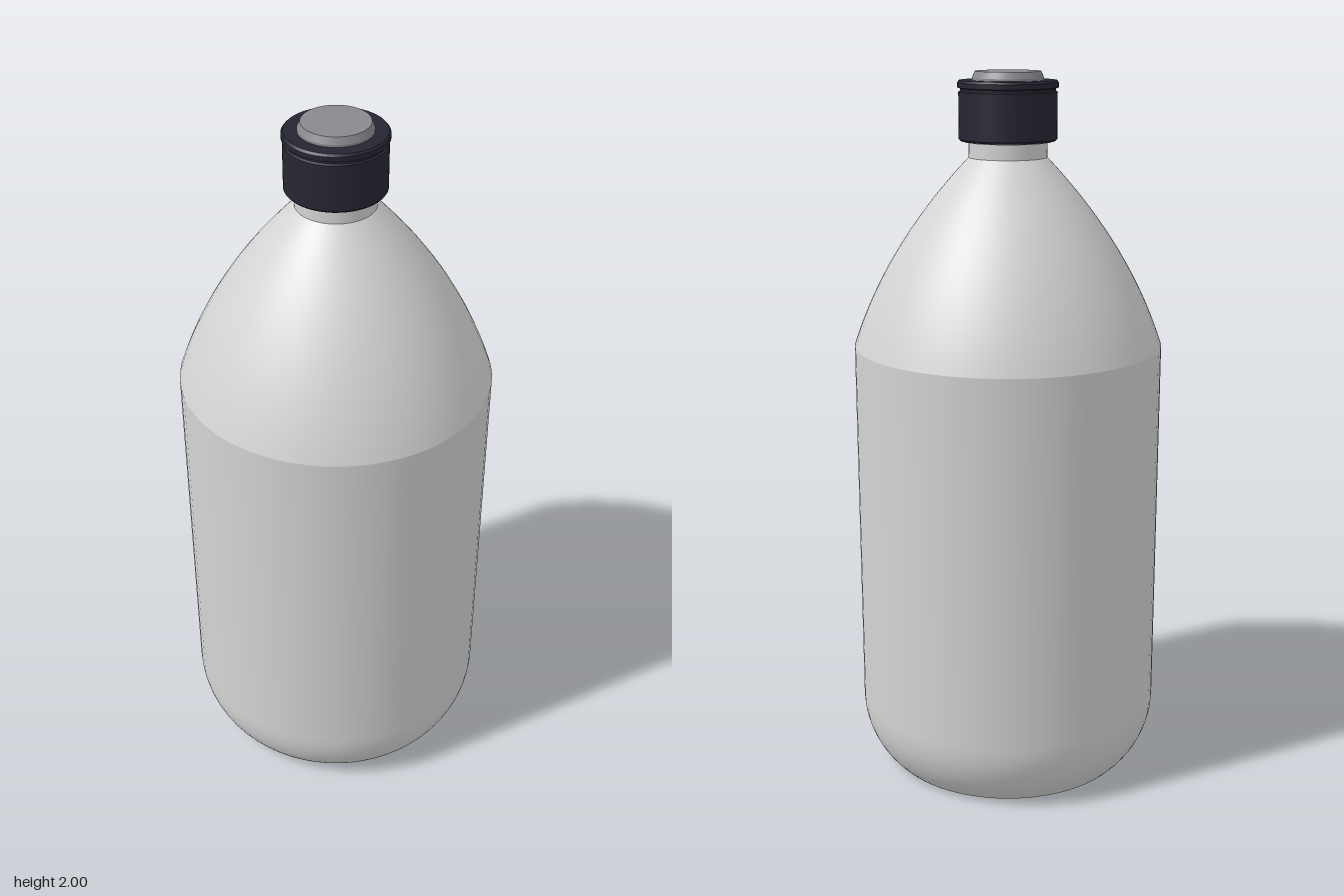
import * as THREE from 'three';

const SEGMENTS = 64;

export function createModel() {
  const bottle = new THREE.Group();
  bottle.name = 'bottle';

  const shell = new THREE.MeshStandardMaterial({ name: 'pale grey', color: 0xd4d4d4 });
  const dark = new THREE.MeshStandardMaterial({ name: 'dark navy', color: 0x262633 });
  const grey = new THREE.MeshStandardMaterial({ name: 'mid grey', color: 0x8a888e });

  const v = (r, y) => new THREE.Vector2(r, y);
  // One smooth band of revolution; profile runs from bottom to top.
  const band = (parent, name, points, material) => {
    const mesh = new THREE.Mesh(new THREE.LatheGeometry(points, SEGMENTS), material);
    mesh.name = name;
    parent.add(mesh);
  };
  // A stack of straight bands with sharp edges between them.
  const stack = (name, profile, material) => {
    const group = new THREE.Group();
    group.name = name;
    for (let i = 0; i + 1 < profile.length; i++) {
      band(group, name + 'Band' + i, [v(...profile[i]), v(...profile[i + 1])], material);
    }
    bottle.add(group);
  };

  // Body: flat base, rounded heel running into a straight wall
  band(bottle, 'base', [v(0, 0), v(0.35, 0)], shell);
  const heel = new THREE.CubicBezierCurve(v(0.35, 0), v(0.4, 0.045), v(0.433, 0.11), v(0.433, 0.19));
  band(bottle, 'body', [...heel.getPoints(14), v(0.433, 0.2), v(0.433, 1.25)], shell);

  // Domed shoulder narrowing to the neck
  const shoulder = new THREE.QuadraticBezierCurve(v(0.433, 1.25), v(0.34, 1.53), v(0.108, 1.77));
  band(bottle, 'shoulder', shoulder.getPoints(20), shell);

  // Neck with a small collar under the cap
  stack('neck', [[0.108, 1.765], [0.108, 1.812], [0.121, 1.812], [0.121, 1.83]], shell);

  // Cap with a groove below its rim
  stack('cap', [
    [0.1, 1.815], [0.131, 1.815], [0.135, 1.82], [0.135, 1.945], [0.13, 1.948],
    [0.13, 1.954], [0.138, 1.957], [0.138, 1.97], [0.133, 1.976], [0.09, 1.976],
  ], dark);

  // Tapered plug on top
  stack('plug', [[0.098, 1.97], [0.098, 1.982], [0.09, 2], [0, 2]], grey);

  return bottle;
}
